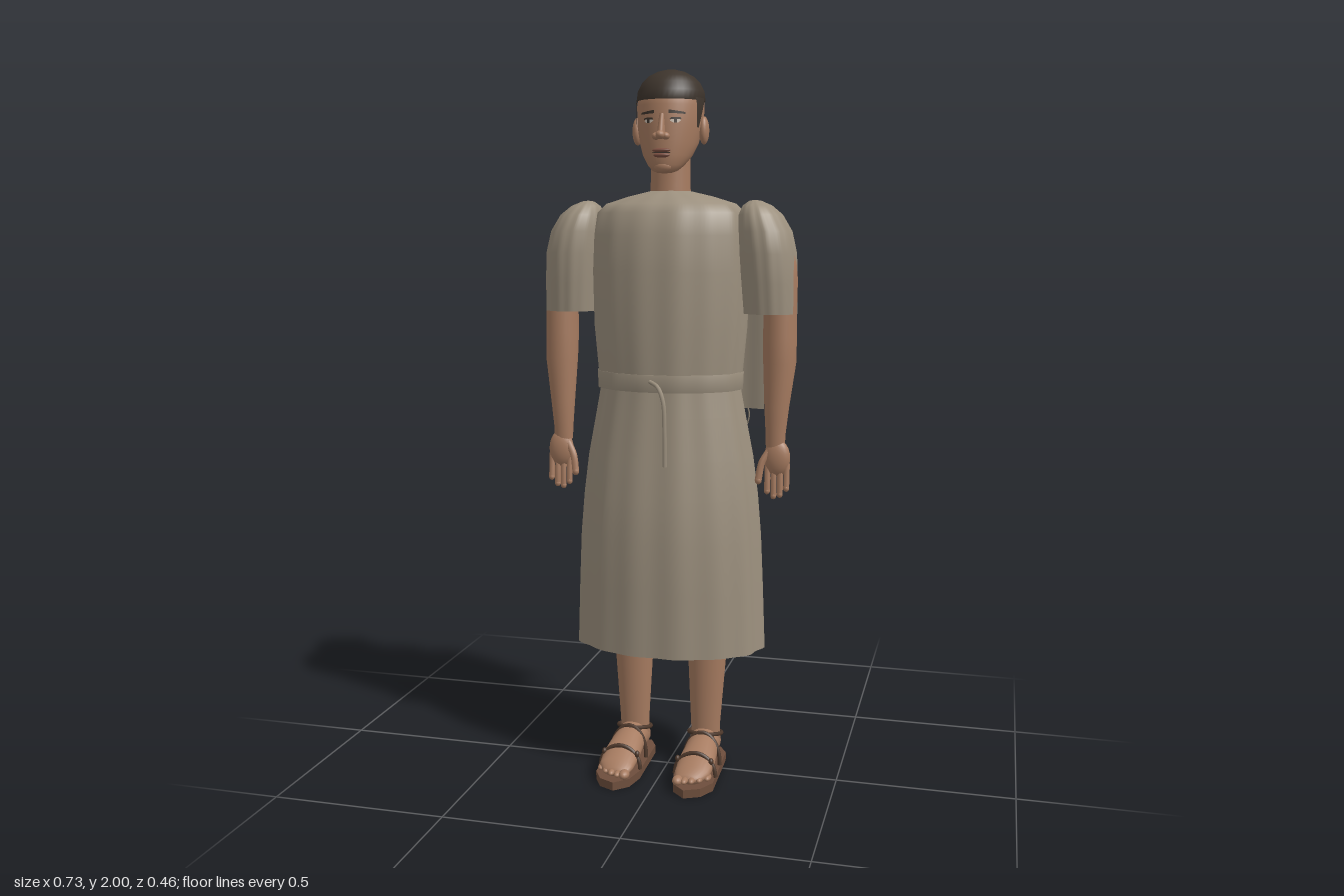
import * as THREE from 'three';

const mat = (name, color, side = THREE.FrontSide) => {
  const m = new THREE.MeshStandardMaterial({ color, side });
  m.name = name;
  return m;
};

export function createModel() {
  const model = new THREE.Group();
  model.name = 'robedMan';
  const cloth = mat('cloth', 0x9c907e, THREE.DoubleSide);
  const skin = mat('skin', 0xa67b60);
  const hair = mat('hair', 0x3d342c, THREE.DoubleSide);
  const leather = mat('strapLeather', 0x4d382b);
  const soleMat = mat('soleLeather', 0x6e4e3c);
  const lipMat = mat('lips', 0x7d5042);
  const eyeMat = mat('eyeWhite', 0xc9bcae, THREE.DoubleSide);

  const add = (name, geo, material, parent = model) => {
    const m = new THREE.Mesh(geo, material);
    m.name = name;
    parent.add(m);
    return m;
  };

  const surface = (grid, wrap) => {
    const n = grid[0].length, pos = grid.flat(2), idx = [];
    for (let i = 0; i < grid.length - 1; i++) {
      for (let j = 0; j < (wrap ? n : n - 1); j++) {
        const a = i * n + j, b = i * n + (j + 1) % n, c = a + n, d = b + n;
        idx.push(a, c, b, b, c, d);
      }
    }
    const g = new THREE.BufferGeometry();
    g.setAttribute('position', new THREE.Float32BufferAttribute(pos, 3));
    g.setIndex(idx);
    g.computeVertexNormals();
    return g;
  };

  // Elliptical rings from bottom to top: [y, radiusX, radiusZ, centreX, centreZ], with optional folds
  const loft = (rings, seg = 24, fold = 0) => surface(rings.map(([y, rx, rz, cx, cz]) =>
    Array.from({ length: seg }, (_, j) => {
      const a = j / seg * Math.PI * 2;
      const w = 1 + fold * (0.6 * Math.cos(14 * a) + 0.4 * Math.cos(9 * a + 1));
      return [cx + rx * w * Math.cos(a), y, cz + rz * w * Math.sin(a)];
    })), true);

  const ball = (name, x, y, z, rx, ry, rz, material, parent) => {
    const g = new THREE.SphereGeometry(1, 16, 12).scale(rx, ry, rz).translate(x, y, z);
    return add(name, g, material, parent);
  };
  const tube = (name, pts, r, material, parent, closed = false) => add(name, new THREE.TubeGeometry(
    new THREE.CatmullRomCurve3(pts.map(p => new THREE.Vector3(...p)), closed), 20, r, 7, closed), material, parent);

  // Tunic
  add('tunicTop', loft([
    [1.13, 0.203, 0.142, 0, -0.025], [1.18, 0.208, 0.146, 0, -0.025], [1.3, 0.219, 0.152, 0, -0.025],
    [1.45, 0.222, 0.153, 0, -0.025], [1.55, 0.218, 0.145, 0, -0.025], [1.61, 0.21, 0.128, 0, -0.025],
    [1.635, 0.185, 0.108, 0, -0.025], [1.655, 0.12, 0.08, 0, -0.028], [1.67, 0.056, 0.05, 0, -0.03],
  ], 112, 0.018), cloth);
  add('tunicSkirt', loft([
    [0.37, 0.276, 0.176, 0, -0.027], [0.55, 0.269, 0.181, 0, -0.027], [0.7, 0.262, 0.184, 0, -0.027],
    [0.82, 0.252, 0.175, 0, -0.027], [0.93, 0.238, 0.162, 0, -0.026], [1.05, 0.215, 0.146, 0, -0.025],
    [1.13, 0.2, 0.138, 0, -0.025],
  ], 112, 0.022), cloth);
  add('belt', loft([
    [1.12, 0.198, 0.138, 0, -0.025], [1.121, 0.209, 0.147, 0, -0.025],
    [1.169, 0.211, 0.149, 0, -0.025], [1.17, 0.2, 0.14, 0, -0.025],
  ], 112, 0.01), cloth);
  tube('beltTie', [[-0.02, 1.152, 0.122], [0.005, 1.14, 0.135], [0.023, 1.1, 0.143],
    [0.028, 1.02, 0.146], [0.029, 0.92, 0.146]], 0.006, cloth);

  // Wavy cloth hanging at the back, with a fringe
  const cape = new THREE.PlaneGeometry(0.48, 0.56, 64, 4).translate(0, 1.32, 0);
  const cp = cape.attributes.position;
  for (let i = 0; i < cp.count; i++) cp.setZ(i, -0.212 - 0.008 * Math.cos(cp.getX(i) * Math.PI * 2 / 0.165));
  cape.computeVertexNormals();
  add('backCloth', cape, cloth);
  const fringe = new THREE.Group();
  fringe.name = 'fringe';
  model.add(fringe);
  for (let i = 0; i < 17; i++) {
    const x = -0.19 + i * 0.02375;
    tube('tassel', [[x, 1.042, -0.216], [x + 0.003, 1.02, -0.223], [x - 0.004, 0.99, -0.229]], 0.0022, cloth, fringe);
  }

  // Head
  const headRings = [
    [1.718, 0.02, 0.018, 0, 0.036], [1.723, 0.034, 0.03, 0, 0.03], [1.738, 0.05, 0.048, 0, 0.019],
    [1.765, 0.068, 0.07, 0, 0], [1.8, 0.081, 0.088, 0, -0.018], [1.85, 0.091, 0.1, 0, -0.03],
    [1.9, 0.093, 0.102, 0, -0.036], [1.93, 0.089, 0.097, 0, -0.038], [1.97, 0.06, 0.065, 0, -0.038],
  ];
  add('head', loft([[1.716, 0.001, 0.001, 0, 0.036], ...headRings], 40), skin);
  add('neck', loft([[1.62, 0.06, 0.055, 0, -0.032], [1.68, 0.056, 0.052, 0, -0.032],
    [1.77, 0.055, 0.05, 0, -0.032]]), skin);
  add('hairCap', loft([
    [1.913, 0.088, 0.097, 0, -0.038], [1.914, 0.095, 0.104, 0, -0.038], [1.94, 0.092, 0.1, 0, -0.039],
    [1.962, 0.081, 0.087, 0, -0.039], [1.98, 0.063, 0.068, 0, -0.039], [1.993, 0.038, 0.041, 0, -0.039],
    [1.999, 0.014, 0.014, 0, -0.039], [2, 0.001, 0.001, 0, -0.039],
  ], 40), hair);

  // Thin patches that follow the head: rows of [y at start, y at end, start degrees, end degrees]
  const onHead = (y, deg, off) => {
    const k = Math.max(1, headRings.findIndex(r => r[0] >= y));
    const p = headRings[k - 1], q = headRings[k], t = (y - p[0]) / (q[0] - p[0]);
    const [, rx, rz, , cz] = p.map((v, i) => v + (q[i] - v) * t);
    const a = deg * Math.PI / 180;
    return [(rx + off) * Math.cos(a), y, cz + (rz + off) * Math.sin(a)];
  };
  const patch = (name, s, rows, off, material) => add(name, surface(rows.map(([y0, y1, a0, a1]) =>
    Array.from({ length: 9 }, (_, j) => {
      const t = j / 8, d = a0 + (a1 - a0) * t;
      return onHead(y0 + (y1 - y0) * t, s > 0 ? d : 180 - d, off);
    })), false), material);

  for (const s of [1, -1]) {
    const side = s > 0 ? 'left' : 'right';
    patch(side + 'Sideburn', s, [[1.84, 1.84, 18, 23], [1.87, 1.87, 14, 26], [1.9, 1.9, 8, 28], [1.92, 1.92, 2, 30]], 0.004, hair);
    patch(side + 'Brow', s, [[1.873, 1.875, 50, 78], [1.878, 1.884, 50, 78]], 0.004, hair);
    patch(side + 'LashLine', s, [[1.859, 1.859, 56, 76], [1.864, 1.864, 58, 74]], 0.003, hair);
    patch(side + 'Eye', s, [[1.85, 1.85, 62, 70], [1.855, 1.855, 57, 76], [1.86, 1.86, 60, 73]], 0.0025, eyeMat);
    patch(side + 'Iris', s, [[1.85, 1.85, 64, 68.5], [1.86, 1.86, 64, 68.5]], 0.0035, hair);
    ball(side + 'Ear', s * 0.095, 1.834, -0.032, 0.014, 0.038, 0.022, skin);
    ball(side + 'Nostril', s * 0.014, 1.814, 0.076, 0.011, 0.01, 0.012, skin);
  }
  add('noseBridge', loft([[1.812, 0.012, 0.02, 0, 0.071], [1.835, 0.01, 0.016, 0, 0.07],
    [1.875, 0.007, 0.01, 0, 0.062]], 16), skin);
  ball('noseTip', 0, 1.817, 0.083, 0.013, 0.012, 0.014, skin);
  ball('upperLip', 0, 1.777, 0.07, 0.026, 0.006, 0.01, lipMat);
  ball('lowerLip', 0, 1.764, 0.068, 0.023, 0.007, 0.01, lipMat);
  ball('mouthLine', 0, 1.7705, 0.071, 0.027, 0.0018, 0.0085, hair);
  ball('chin', 0, 1.735, 0.053, 0.026, 0.018, 0.015, skin);

  // Arms, hands, legs and sandals, mirrored
  for (const s of [1, -1]) {
    const limb = new THREE.Group();
    limb.name = s > 0 ? 'leftLimbs' : 'rightLimbs';
    model.add(limb);
    const rings = list => list.map(([y, rx, rz, cx, cz]) => [y, rx, rz, cx * s, cz]);
    add('sleeve', loft(rings([
      [1.335, 0.074, 0.066, 0.288, -0.018], [1.42, 0.077, 0.08, 0.284, -0.02], [1.5, 0.079, 0.091, 0.279, -0.023],
      [1.56, 0.074, 0.09, 0.27, -0.026], [1.605, 0.06, 0.077, 0.257, -0.028], [1.63, 0.04, 0.052, 0.247, -0.03],
      [1.643, 0.016, 0.02, 0.241, -0.03], [1.645, 0.001, 0.001, 0.24, -0.03],
    ]), 72, 0.02), cloth, limb);
    add('arm', loft(rings([
      [0.965, 0.027, 0.02, 0.311, 0.004], [1.0, 0.028, 0.024, 0.311, 0.003], [1.08, 0.035, 0.032, 0.313, 0],
      [1.2, 0.046, 0.045, 0.318, -0.01], [1.27, 0.047, 0.049, 0.317, -0.014], [1.35, 0.046, 0.048, 0.317, -0.016],
      [1.43, 0.049, 0.045, 0.315, -0.017], [1.5, 0.05, 0.04, 0.307, -0.018], [1.56, 0.03, 0.025, 0.28, -0.02],
    ])), skin, limb);
    ball('palm', s * 0.317, 0.935, 0.008, 0.037, 0.053, 0.022, skin, limb);
    for (let i = 0; i < 4; i++) {
      const x = s * (0.291 + i * 0.018), tip = [0.835, 0.822, 0.827, 0.845][i];
      tube('finger', [[x, 0.92, 0.008], [x, 0.87, 0.014], [x, tip + 0.006, 0.016]], 0.0085, skin, limb);
      ball('fingertip', x, tip + 0.006, 0.016, 0.0085, 0.01, 0.0085, skin, limb);
    }
    tube('thumb', [[s * 0.295, 0.955, 0.012], [s * 0.276, 0.92, 0.022], [s * 0.268, 0.875, 0.028]], 0.01, skin, limb);
    ball('thumbTip', s * 0.268, 0.873, 0.028, 0.01, 0.012, 0.01, skin, limb);

    add('leg', loft(rings([
      [0.06, 0.042, 0.036, 0.108, -0.032], [0.12, 0.043, 0.032, 0.108, -0.028], [0.2, 0.048, 0.038, 0.109, -0.03],
      [0.36, 0.058, 0.05, 0.111, -0.035], [0.55, 0.064, 0.056, 0.111, -0.035], [0.9, 0.08, 0.07, 0.1, -0.03],
    ])), skin, limb);
    // Foot lofted along z: [z, radiusX, radiusY, centreX, -centreY]
    add('foot', loft(rings([
      [-0.088, 0.001, 0.001, 0.108, -0.05], [-0.082, 0.028, 0.024, 0.108, -0.052], [-0.05, 0.042, 0.042, 0.108, -0.066],
      [0, 0.045, 0.048, 0.109, -0.071], [0.05, 0.048, 0.042, 0.111, -0.065], [0.11, 0.053, 0.033, 0.112, -0.055],
      [0.16, 0.05, 0.022, 0.111, -0.044], [0.185, 0.036, 0.014, 0.105, -0.037], [0.192, 0.001, 0.001, 0.105, -0.035],
    ])).rotateX(Math.PI / 2), skin, limb);
    for (let i = 0; i < 5; i++) {
      const r = i ? 0.01 : 0.015;
      ball('toe', s * (0.078 + i * 0.0195), 0.037, 0.195 - i * i * 0.0025, r, r * 0.9, 0.02, skin, limb);
    }

    const outline = [[0.054, -0.06], [0.075, -0.098], [0.14, -0.098], [0.163, -0.06], [0.172, 0.16],
      [0.146, 0.207], [0.102, 0.228], [0.064, 0.192], [0.05, 0.13]];
    const sole = new THREE.Shape(outline.map(([x, z]) => new THREE.Vector2(s * x, -z)));
    add('sole', new THREE.ExtrudeGeometry(sole, { depth: 0.024, bevelEnabled: false })
      .rotateX(-Math.PI / 2), soleMat, limb);
    const arch = (z, rx, h, lean) => Array.from({ length: 11 }, (_, i) => {
      const a = Math.PI * i / 10;
      return [s * (0.111 + rx * Math.cos(a)), 0.025 + h * Math.sin(a), z - lean * Math.sin(a)];
    });
    tube('toeStrap', arch(0.122, 0.06, 0.064, 0.005), 0.006, leather, limb);
    tube('instepStrap', arch(0.035, 0.054, 0.09, 0.01), 0.006, leather, limb);
    tube('ankleStrap', Array.from({ length: 12 }, (_, i) => {
      const a = i / 12 * Math.PI * 2;
      return [s * 0.108 + 0.048 * Math.cos(a), 0.098 + 0.012 * Math.sin(a), -0.025 + 0.052 * Math.sin(a)];
    }), 0.006, leather, limb, true);
    for (const x of [0.06, 0.158]) ball('buckle', s * x, 0.07, 0.122, 0.007, 0.01, 0.009, leather, limb);
  }
  return model;
}
